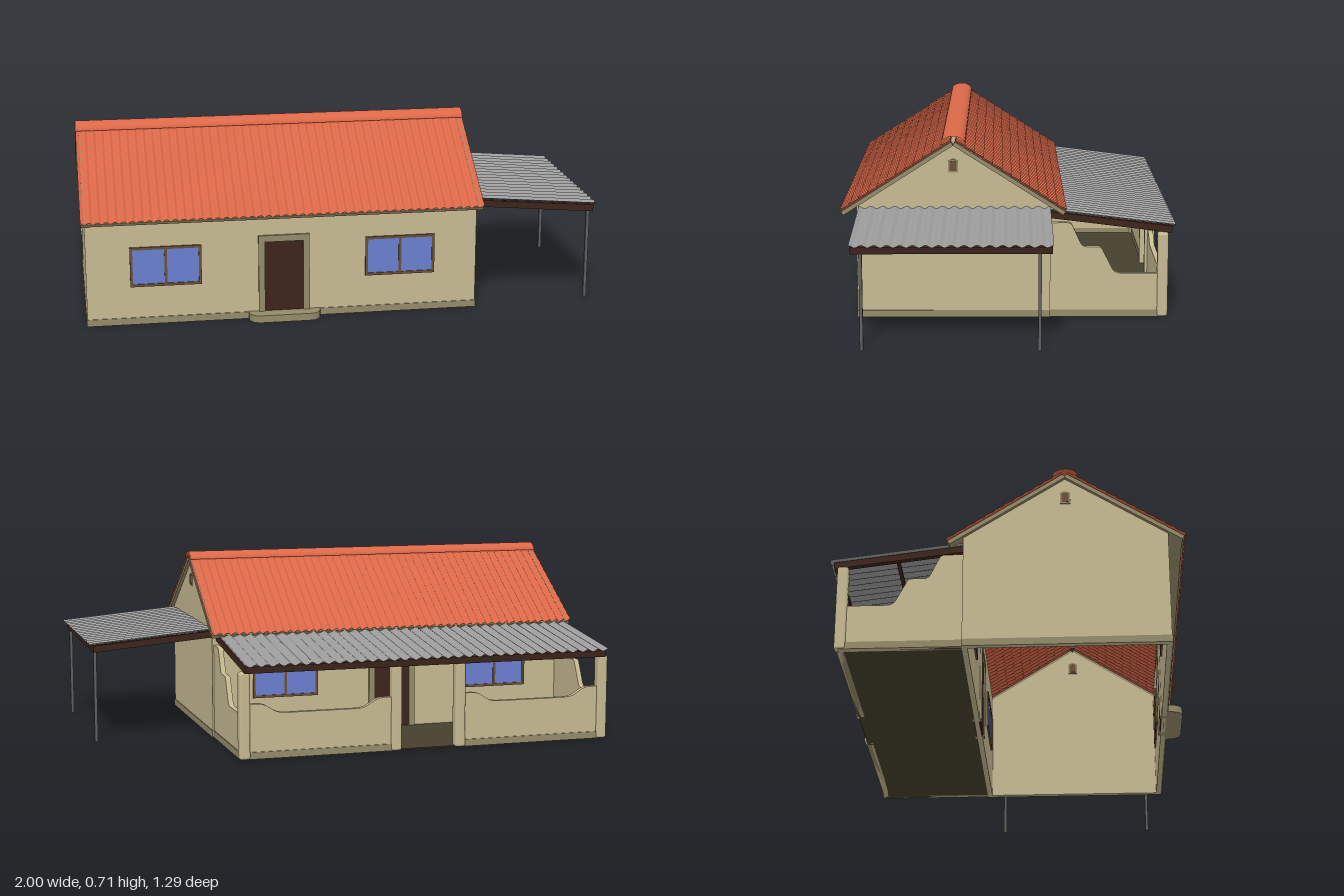
import * as THREE from 'three';
import { RoundedBoxGeometry } from 'three/addons/geometries/RoundedBoxGeometry.js';

const mat = (color, side = THREE.FrontSide) => new THREE.MeshStandardMaterial({ color, side });
const plaster = mat(0xc6ba92), trim = mat(0x958b68), wood = mat(0x3d251b), frameWood = mat(0x6a5038);
const glass = mat(0x6a80d0), steel = mat(0x606060), floorMat = mat(0x45402c);
const tile = mat(0xdc6848, THREE.DoubleSide), tin = mat(0x9c9c9c, THREE.DoubleSide);

const CX = -0.235, RIDGE_Z = 0.213;           // house centre line and ridge
const X0 = -0.985, X1 = 0.515, Z0 = -0.16, Z1 = 0.585, T = 0.02;

function add(parent, name, geo, material, x = 0, y = 0, z = 0) {
  const m = new THREE.Mesh(geo, material);
  m.name = name;
  m.position.set(x, y, z);
  parent.add(m);
  return m;
}

// box given by its min and max corners
function block(parent, name, material, x0, x1, y0, y1, z0, z1) {
  return add(parent, name, new THREE.BoxGeometry(x1 - x0, y1 - y0, z1 - z0), material,
    (x0 + x1) / 2, (y0 + y1) / 2, (z0 + z1) / 2);
}

function extrude(shape, depth) {
  return new THREE.ExtrudeGeometry(shape, { depth, bevelEnabled: false, curveSegments: 8 });
}

// wall in the z-y plane whose outer face is at x, growing towards -x
function sideWall(parent, name, shape, x, material = plaster, depth = T) {
  const m = add(parent, name, extrude(shape, depth), material, x);
  m.rotation.y = -Math.PI / 2;
  return m;
}

// corrugated sheet lying flat, ribs along z, optionally stepped into overlapping rows
function corrugated(width, length, ribs, amp, rows = 1, step = 0) {
  const geo = new THREE.PlaneGeometry(width, length, ribs * 6, rows * 2).rotateX(-Math.PI / 2);
  const p = geo.attributes.position, cols = ribs * 6 + 1;
  for (let i = 0; i < p.count; i++) {
    const c = i % cols, r = Math.floor(i / cols);
    let y = amp * Math.cos((c / 6) * Math.PI * 2);
    if (rows > 1) {
      const low = r % 2 === 1;
      y += low ? step : 0;
      if (low) p.setZ(i, p.getZ(i) + length / rows * 0.45);
    }
    p.setY(i, y);
  }
  geo.computeVertexNormals();
  return geo;
}

// one half of the tiled roof: falls from the ridge towards local +z
function roofHalf(name, rotY) {
  const g = new THREE.Group();
  g.name = name;
  g.position.set(CX, 0.678, RIDGE_Z);
  g.rotation.y = rotY;
  const slope = new THREE.Group(), L = 0.502, W = 1.53;
  slope.rotation.x = Math.atan(0.64);
  g.add(slope);
  add(slope, 'roofTiles', corrugated(W, L, 48, 0.005, 12, 0.004), tile, 0, 0.017, L / 2);
  for (const s of [-1, 1])
    add(slope, 'bargeBoard', new THREE.BoxGeometry(0.03, 0.016, L), trim, s * (W / 2 - 0.016), 0.006, L / 2);
  add(slope, 'eaveBoard', new THREE.BoxGeometry(W - 0.03, 0.014, 0.07), trim, 0, 0.005, L - 0.037);
  return g;
}

// lean-to roof: corrugated sheet on a timber frame, falling along local +z
function leanTo(name, width, run, yTop, yEnd, ribs) {
  const g = new THREE.Group(), slope = new THREE.Group();
  g.name = name;
  const a = Math.atan2(yTop - yEnd, run), L = Math.hypot(run, yTop - yEnd);
  slope.position.y = yTop;
  slope.rotation.x = a;
  g.add(slope);
  add(slope, 'roofSheet', corrugated(width, L, ribs, 0.005), tin, 0, 0, L / 2);
  for (const s of [-1, 1])
    add(slope, 'sideBeam', new THREE.BoxGeometry(0.02, 0.026, L - 0.015), wood, s * (width / 2 - 0.014), -0.019, L / 2 - 0.005);
  for (const z of [0.012, L - 0.022])
    add(slope, 'crossBeam', new THREE.BoxGeometry(width - 0.01, 0.026, 0.02), wood, 0, -0.019, z);
  add(slope, 'purlin', new THREE.BoxGeometry(width - 0.03, 0.012, 0.014), wood, 0, -0.012, L / 2);
  return g;
}

// two-pane window, seen from both faces of the wall
function windowUnit(x, z) {
  const g = new THREE.Group(), w = 0.27, h = 0.155, b = 0.01, d = T + 0.014;
  g.name = 'window';
  g.position.set(x, 0.228, z);
  add(g, 'windowPane', new THREE.BoxGeometry(w - b, h - b, d - 0.008), glass);
  for (const s of [-1, 0, 1])
    add(g, 'windowStile', new THREE.BoxGeometry(b, h, d), frameWood, s * (w - b) / 2);
  for (const s of [-1, 1])
    add(g, 'windowRail', new THREE.BoxGeometry(w, b, d), frameWood, 0, s * (h - b) / 2);
  return g;
}

function doorUnit(z) {
  const g = new THREE.Group(), d = T + 0.018;
  g.name = 'door';
  g.position.set(CX, 0, z);
  add(g, 'doorLeaf', new THREE.BoxGeometry(0.15, 0.305, d - 0.012), wood, 0, 0.1525, 0);
  for (const s of [-1, 1])
    add(g, 'doorJamb', new THREE.BoxGeometry(0.024, 0.33, d), trim, s * 0.086, 0.165, 0);
  add(g, 'doorLintel', new THREE.BoxGeometry(0.15, 0.025, d), trim, 0, 0.3175, 0);
  return g;
}

function house() {
  const g = new THREE.Group();
  g.name = 'house';
  const under = z => 0.68 - 0.64 * Math.abs(z - RIDGE_Z);
  const gable = new THREE.Shape([[Z0, 0], [Z1, 0], [Z1, under(Z1)], [RIDGE_Z, under(RIDGE_Z)], [Z0, under(Z0)]]
    .map(p => new THREE.Vector2(...p)));
  // arched attic vent
  const vent = (w, h) => new THREE.Shape().moveTo(-w, -h).lineTo(w, -h).lineTo(w, h * 0.75)
    .quadraticCurveTo(0, h * 1.25, -w, h * 0.75);
  for (const [x, s] of [[X1, 1], [X0 + T, -1]]) {
    sideWall(g, 'gableWall', gable, x);
    sideWall(g, 'ventFrame', vent(0.019, 0.026), x + 0.004, trim, T + 0.008).position.set(x + 0.004, 0.596, RIDGE_Z);
    sideWall(g, 'vent', vent(0.013, 0.02), x + 0.006, frameWood, T + 0.012).position.set(x + 0.006, 0.596, RIDGE_Z);
    const xo = s > 0 ? X1 : X0;
    block(g, 'plinth', trim, xo - 0.003, xo + 0.003, 0, 0.027, Z0, Z1);
  }
  for (const z of [Z1 - T / 2, Z0 + T / 2]) {
    block(g, 'longWall', plaster, X0 + T, X1 - T, 0, 0.44, z - T / 2, z + T / 2);
    for (const s of [-1, 1]) g.add(windowUnit(CX + s * 0.45, z));
    g.add(doorUnit(z));
  }
  block(g, 'plinth', trim, X0, X1, 0, 0.027, Z1 - 0.003, Z1 + 0.003);
  // rounded doorstep
  const step = new THREE.Shape().moveTo(-0.137, 0).lineTo(0.137, 0).lineTo(0.137, -0.02)
    .quadraticCurveTo(0.13, -0.06, 0.09, -0.06).lineTo(-0.09, -0.06).quadraticCurveTo(-0.13, -0.06, -0.137, -0.02);
  add(g, 'doorStep', extrude(step, 0.028).rotateX(-Math.PI / 2), trim, CX, 0, Z1);
  // roof
  g.add(roofHalf('frontRoof', 0), roofHalf('backRoof', Math.PI));
  const cap = new THREE.CylinderGeometry(0.046, 0.046, 1.53, 20, 1, true, -Math.PI / 2, Math.PI)
    .rotateZ(Math.PI / 2).rotateX(0);
  const ridge = add(g, 'ridgeCap', cap, tile, CX, 0.682, RIDGE_Z);
  // put the half pipe's open side down and flatten it
  cap.computeBoundingBox();
  if (cap.boundingBox.max.y < 0.01) cap.rotateX(Math.PI);
  else if (cap.boundingBox.min.y < -0.01) cap.rotateX(cap.boundingBox.max.z > 0.01 ? -Math.PI / 2 : Math.PI / 2);
  ridge.scale.y = 0.65;
  return g;
}

function porch() {
  const g = new THREE.Group(), zb = -0.612;
  g.name = 'porch';
  const roof = leanTo('porchRoof', 1.475, 0.485, 0.42, 0.36, 34);
  roof.position.set(CX, 0, Z0);
  roof.rotation.y = Math.PI;
  g.add(roof);
  block(g, 'porchFloor', floorMat, X0 + 0.01, X1 - 0.01, 0, 0.005, -0.605, Z0);
  // stepped side walls
  const side = new THREE.Shape().moveTo(Z0, 0).lineTo(Z0, 0.372).lineTo(-0.225, 0.372)
    .quadraticCurveTo(-0.24, 0.372, -0.246, 0.358).lineTo(-0.276, 0.294).quadraticCurveTo(-0.283, 0.277, -0.3, 0.277)
    .lineTo(-0.345, 0.277).quadraticCurveTo(-0.357, 0.277, -0.363, 0.263).lineTo(-0.4, 0.19)
    .quadraticCurveTo(-0.41, 0.172, -0.435, 0.172).lineTo(-0.6, 0.172).lineTo(-0.6, 0);
  for (const x of [X1 - 0.006, X0 + 0.006 + T]) {
    sideWall(g, 'porchSideWall', side, x);
    block(g, 'porchPlinth', trim, x - T - 0.003, x + 0.003, 0, 0.027, -0.6, Z0);
  }
  // low back walls with a dipped top, either side of the entrance
  const low = new THREE.Shape().moveTo(-0.29, 0).lineTo(0.29, 0).lineTo(0.29, 0.21).lineTo(0.25, 0.21)
    .bezierCurveTo(0.2, 0.21, 0.2, 0.172, 0.14, 0.172).lineTo(-0.14, 0.172)
    .bezierCurveTo(-0.2, 0.172, -0.2, 0.21, -0.25, 0.21).lineTo(-0.29, 0.21);
  for (const s of [-1, 1]) {
    const x = CX + s * 0.43;
    add(g, 'porchBackWall', extrude(low, T), plaster, x, 0, zb + 0.007);
    block(g, 'porchPlinth', trim, x - 0.29, x + 0.29, 0, 0.027, zb + 0.003, zb + 0.03);
    for (const cx of [0.73, 0.13])
      add(g, 'porchColumn', new RoundedBoxGeometry(0.042, 0.332, 0.042, 3, 0.01), plaster, CX + s * cx, 0.166, -0.595);
  }
  return g;
}

function carport() {
  const g = new THREE.Group();
  g.name = 'carport';
  const roof = leanTo('carportRoof', 0.735, 0.485, 0.434, 0.392, 16);
  roof.position.set(X1, 0, 0.208);
  roof.rotation.y = Math.PI / 2;
  g.add(roof);
  for (const z of [0.535, -0.11])
    block(g, 'carportPost', steel, 0.969, 0.981, 0, 0.372, z - 0.006, z + 0.006);
  return g;
}

export function createModel() {
  const model = new THREE.Group();
  model.name = 'house';
  model.add(house(), porch(), carport());
  return model;
}
